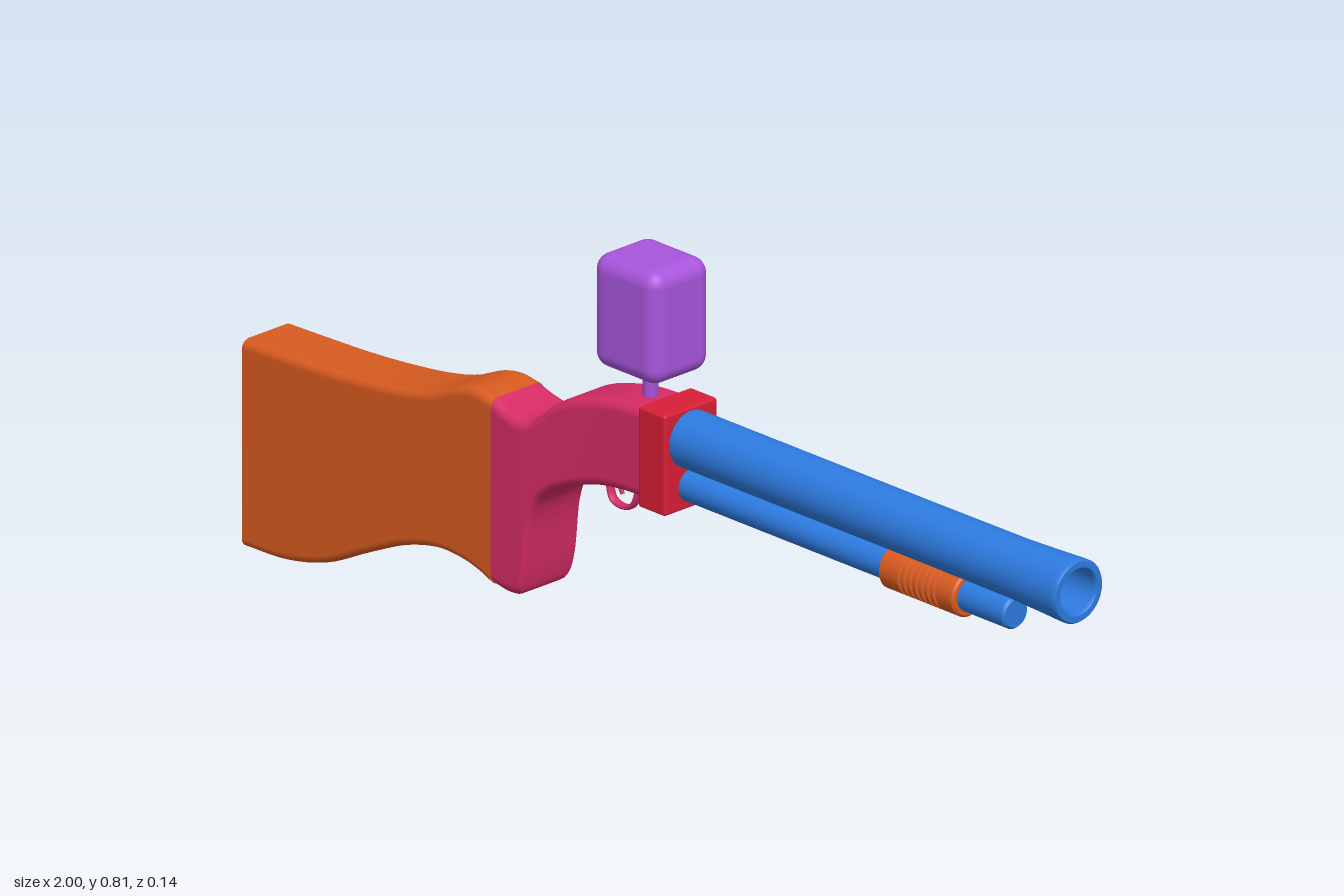
import * as THREE from 'three';
import { RoundedBoxGeometry } from 'three/addons/geometries/RoundedBoxGeometry.js';

const mat = (name, color) => {
  const m = new THREE.MeshStandardMaterial({ color });
  m.name = name;
  return m;
};

// Rounded-rectangle loft; each station is [topX, topY, bottomX, bottomY, halfWidth]
function loft(stations, radius, steps) {
  const tops = new THREE.CatmullRomCurve3(stations.map(s => new THREE.Vector3(s[0], s[1], s[4])));
  const bots = new THREE.CatmullRomCurve3(stations.map(s => new THREE.Vector3(s[2], s[3], s[4])));
  const pos = [], idx = [], seg = 5, ring = 4 * (seg + 1);
  const corners = [[1, 1], [-1, 1], [-1, -1], [1, -1]];
  const addRing = t => {
    const a = tops.getPoint(t), b = bots.getPoint(t);
    const half = Math.hypot(a.x - b.x, a.y - b.y) / 2;
    const ux = (a.x - b.x) / 2 / half, uy = (a.y - b.y) / 2 / half;
    corners.forEach(([su, sz], c) => {
      for (let k = 0; k <= seg; k++) {
        const ang = (c + k / seg) * Math.PI / 2;
        const u = su * (half - radius) + radius * Math.cos(ang);
        const z = sz * (a.z - radius) + radius * Math.sin(ang);
        pos.push((a.x + b.x) / 2 + ux * u, (a.y + b.y) / 2 + uy * u, z);
      }
    });
  };
  for (let i = 0; i <= steps; i++) addRing(i / steps);
  for (let i = 0; i < steps; i++) {
    for (let j = 0; j < ring; j++) {
      const a = i * ring + j, b = i * ring + (j + 1) % ring;
      idx.push(a, b, b + ring, a, b + ring, a + ring);
    }
  }
  // separate cap rings keep the ends crisp
  [0, 1].forEach(end => {
    const s = pos.length / 3;
    addRing(end);
    for (let j = 1; j < ring - 1; j++) {
      if (end) idx.push(s, s + j, s + j + 1);
      else idx.push(s, s + j + 1, s + j);
    }
  });
  const g = new THREE.BufferGeometry();
  g.setAttribute('position', new THREE.Float32BufferAttribute(pos, 3));
  g.setIndex(idx);
  g.computeVertexNormals();
  return g;
}

// Turned part along x from [x, radius] points; sharp corners are doubled to crease them
function turned(points, segments = 40) {
  const p = points.map(([x, r]) => new THREE.Vector2(r, x));
  const out = [];
  p.forEach((v, i) => {
    out.push(v);
    if (i > 0 && i < p.length - 1) {
      const d1 = v.clone().sub(p[i - 1]).normalize();
      const d2 = p[i + 1].clone().sub(v).normalize();
      if (d1.dot(d2) < 0.8) out.push(v.clone());
    }
  });
  return new THREE.LatheGeometry(out, segments).rotateZ(-Math.PI / 2);
}

export function createModel() {
  const group = new THREE.Group();
  const orange = mat('orange', 0xd95b20);
  const magenta = mat('magenta', 0xd62c66);
  const red = mat('red', 0xd81e36);
  const blue = mat('blue', 0x2d7be0);
  const purple = mat('purple', 0xa855dc);

  const add = (name, geometry, material, x = 0, y = 0, z = 0) => {
    const mesh = new THREE.Mesh(geometry, material);
    mesh.name = name;
    mesh.position.set(x, y, z);
    group.add(mesh);
    return mesh;
  };

  // Shoulder stock
  add('stock', loft([
    [-1, 0.388, -1, 0.004, 0.061],
    [-0.9, 0.391, -0.9, 0.008, 0.061],
    [-0.8, 0.395, -0.8, 0.032, 0.061],
    [-0.7, 0.403, -0.7, 0.08, 0.061],
    [-0.6, 0.416, -0.6, 0.124, 0.061],
    [-0.53, 0.433, -0.52, 0.142, 0.061],
    [-0.47, 0.459, -0.46, 0.139, 0.061],
    [-0.43, 0.467, -0.42, 0.13, 0.062],
    [-0.385, 0.461, -0.385, 0.117, 0.063],
  ], 0.016, 48), orange, 0, 0, 0.002);

  // Receiver with grip
  add('receiver', loft([
    [-0.385, 0.461, -0.385, 0.117, 0.063],
    [-0.36, 0.452, -0.345, 0.112, 0.064],
    [-0.335, 0.446, -0.322, 0.117, 0.065],
    [-0.315, 0.444, -0.31, 0.15, 0.065],
    [-0.295, 0.447, -0.297, 0.25, 0.064],
    [-0.27, 0.465, -0.28, 0.298, 0.063],
    [-0.24, 0.491, -0.25, 0.326, 0.061],
    [-0.2, 0.515, -0.2, 0.35, 0.059],
    [-0.14, 0.535, -0.14, 0.37, 0.057],
    [-0.07, 0.548, -0.07, 0.379, 0.056],
    [0, 0.55, 0, 0.381, 0.056],
  ], 0.02, 60), magenta, 0, 0, 0.001);

  // Front block that holds the tubes
  add('frontBlock', new RoundedBoxGeometry(0.066, 0.186, 0.126, 3, 0.005), red, 0.01, 0.463, 0);

  // Barrel with flared muzzle and hollow bore
  add('barrel', turned([
    [0.03, 0.052], [0.6, 0.052], [0.85, 0.053], [0.94, 0.056], [0.985, 0.058],
    [0.996, 0.058], [1, 0.055], [1, 0.044], [0.994, 0.04], [0.85, 0.038], [0.85, 0],
  ], 48), blue, 0, 0.498, 0);

  // Lower tube
  add('lowerTube', turned([[0.03, 0.03], [0.84, 0.03], [0.845, 0.026], [0.845, 0]]), blue, 0, 0.413, 0);

  // Sliding grip with grooves
  const grip = [[0.545, 0.03], [0.545, 0.037], [0.549, 0.041]];
  for (let i = 0; i < 7; i++) {
    const x = 0.595 + i * 0.0145;
    grip.push([x, 0.041], [x + 0.002, 0.037], [x + 0.006, 0.037], [x + 0.008, 0.041]);
  }
  grip.push([0.727, 0.041], [0.731, 0.037], [0.731, 0.03]);
  add('slideGrip', turned(grip), orange, 0, 0.413, 0);

  // Trigger guard and trigger
  const tube = (pts, r) => new THREE.TubeGeometry(
    new THREE.CatmullRomCurve3(pts.map(([x, y]) => new THREE.Vector3(x, y, 0))), 32, r, 10);
  add('triggerGuard', tube([
    [-0.153, 0.375], [-0.156, 0.35], [-0.147, 0.329], [-0.122, 0.323],
    [-0.1, 0.332], [-0.088, 0.355], [-0.086, 0.385],
  ], 0.005).scale(1, 1, 1.8), magenta);
  add('trigger', tube([[-0.134, 0.38], [-0.134, 0.362], [-0.126, 0.345]], 0.004), magenta);

  // Hopper and its neck
  add('hopper', new RoundedBoxGeometry(0.16, 0.21, 0.14, 6, 0.03), purple, -0.055, 0.705, 0);
  const neck = [[0.021, 0.605], [0.017, 0.594], [0.014, 0.58], [0.013, 0.53]];
  add('hopperNeck', new THREE.LatheGeometry(
    neck.reverse().map(([r, y]) => new THREE.Vector2(r, y)), 24), purple, -0.057, 0, 0);

  return group;
}
